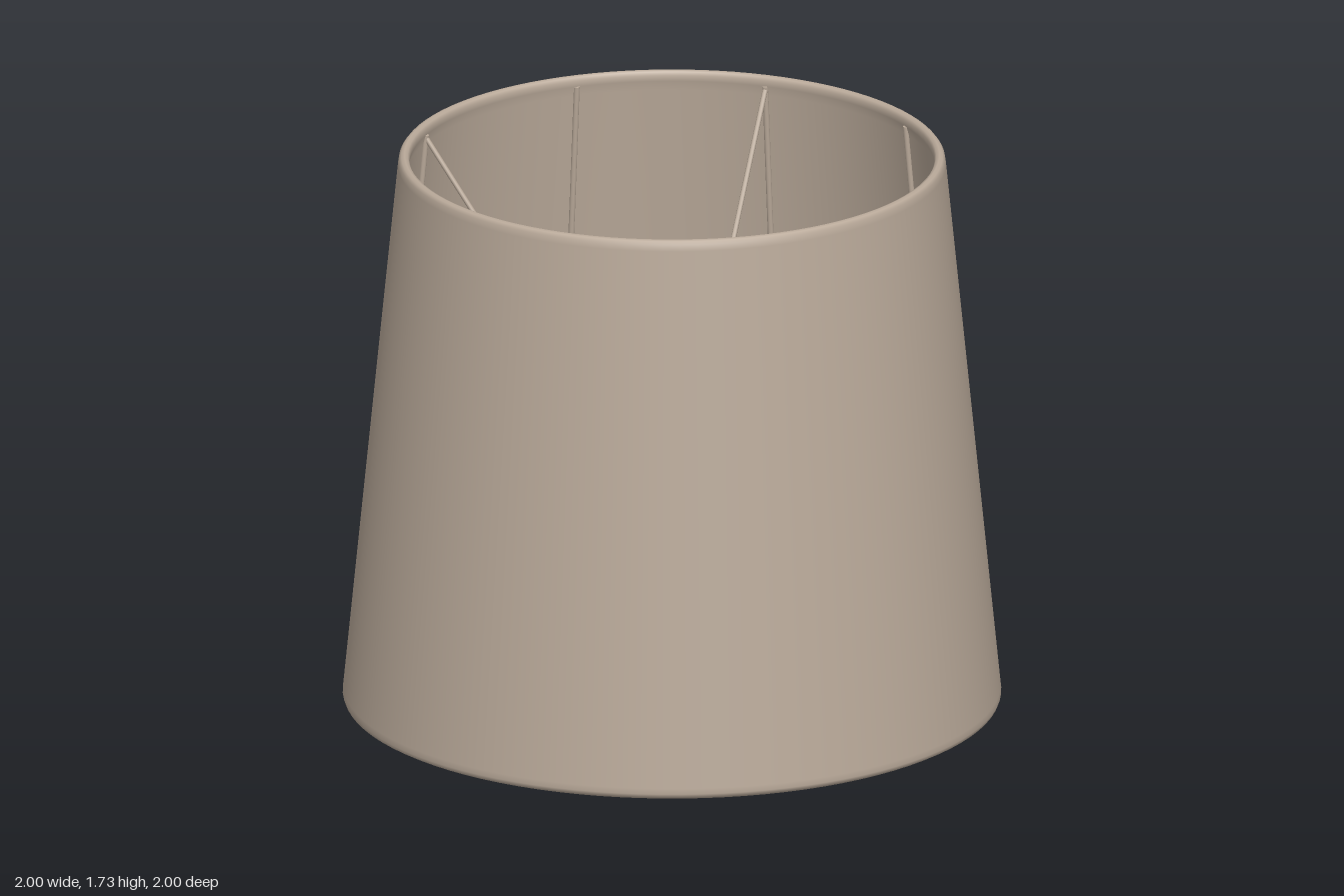
import * as THREE from 'three';

export function createModel() {
  const model = new THREE.Group();
  const fabric = new THREE.MeshStandardMaterial({ color: 0xbaaa9a });
  fabric.name = 'warm beige';

  const add = (name, geometry, parent = model) => {
    const mesh = new THREE.Mesh(geometry, fabric);
    mesh.name = name;
    parent.add(mesh);
    return mesh;
  };

  // straight round wire between two points
  const wire = (name, from, to, radius, parent) => {
    const dir = to.clone().sub(from);
    const mesh = add(name, new THREE.CylinderGeometry(radius, radius, dir.length(), 10), parent);
    mesh.position.copy(from).add(to).multiplyScalar(0.5);
    mesh.quaternion.setFromUnitVectors(new THREE.Vector3(0, 1, 0), dir.normalize());
  };

  // tapered shade wall: outside upward, rolled top edge, inside downward, rolled bottom edge
  const profile = [
    [0.985, 0], [0.996, 0.006], [1, 0.018], [0.998, 0.035],
    [0.832, 1.70], [0.829, 1.72], [0.822, 1.729], [0.812, 1.732],
    [0.802, 1.728], [0.797, 1.718], [0.797, 1.70], [0.806, 1.67],
    [0.966, 0.05], [0.958, 0.03], [0.958, 0.014], [0.966, 0.003], [0.985, 0],
  ].map(([r, y]) => new THREE.Vector2(r, y));
  add('shade', new THREE.LatheGeometry(profile, 96));

  // wire frame inside the shade
  const frame = new THREE.Group();
  frame.name = 'wireFrame';
  model.add(frame);
  const hubY = 0.68;
  const at = (angle, r, y) => new THREE.Vector3(r * Math.cos(angle), y, r * Math.sin(angle));
  [0, 48, 90, 132, 180, 228, 270, 312].forEach((deg, i) => {
    const a = THREE.MathUtils.degToRad(deg);
    wire('wallWire', at(a, 0.957, 0.03), at(a, 0.798, 1.70), 0.009, frame);
    wire('bottomSpoke', at(a, 0, 0.025), at(a, 0.965, 0.025), 0.009, frame);
    // every second wire also hangs the centre ball from the top edge
    if (i % 2 === 0) wire('hangingWire', at(a, 0.08, hubY - 0.02), at(a, 0.798, 1.69), 0.008, frame);
  });

  // centre ball
  add('centreBall', new THREE.SphereGeometry(0.133, 40, 24)).position.y = hubY;

  return model;
}
